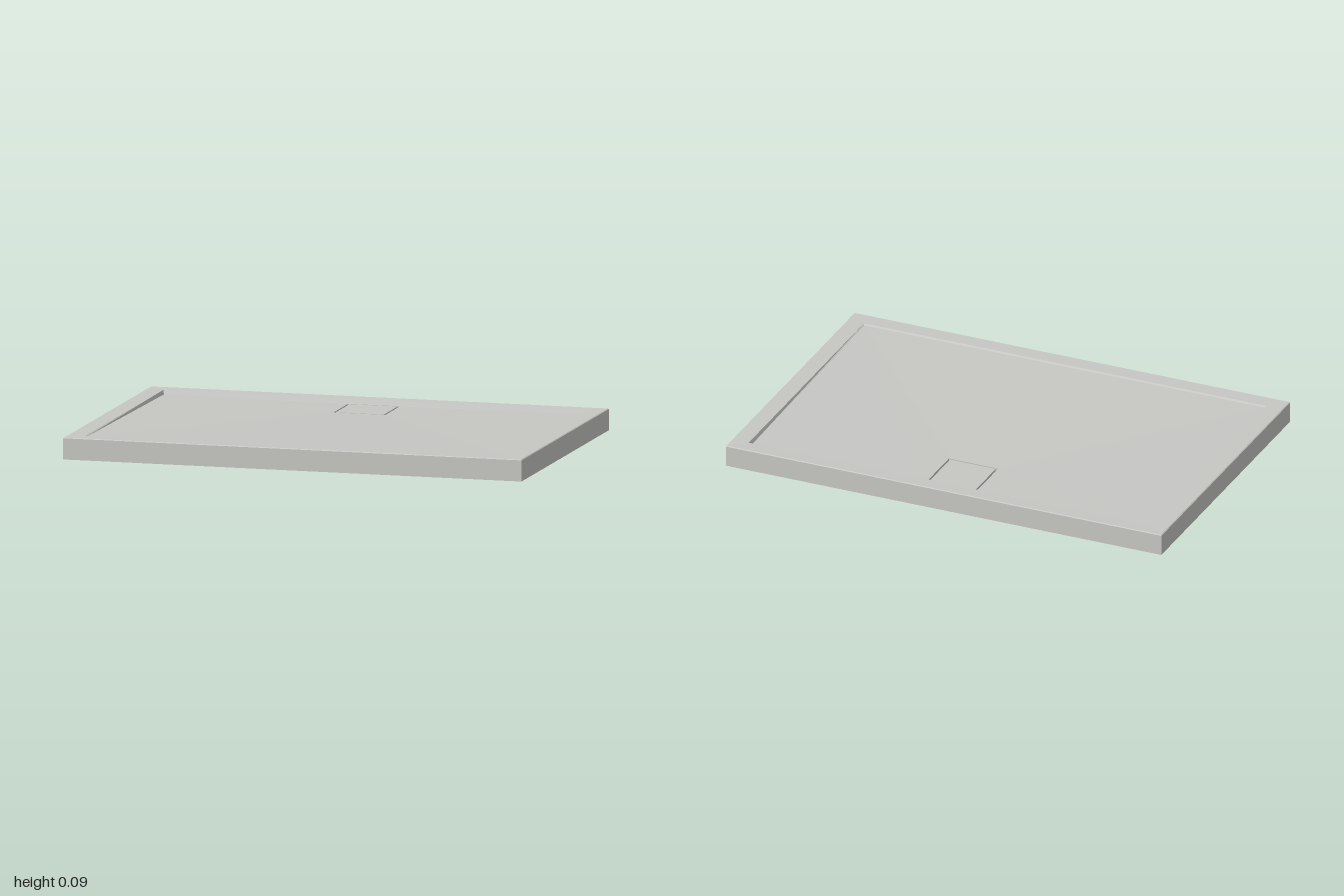
import * as THREE from 'three';

// Rectangular loop, counter-clockwise from above: half width, back z, front z, back y, front y
function loop(hx, zBack, zFront, yBack, yFront = yBack) {
  return [
    [-hx, yBack, zBack], [-hx, yFront, zFront],
    [hx, yFront, zFront], [hx, yBack, zBack],
  ];
}

// Joins successive loops with flat faces
function loft(loops) {
  const pos = [];
  for (let k = 0; k < loops.length - 1; k++) {
    const a = loops[k], b = loops[k + 1];
    for (let i = 0; i < 4; i++) {
      const j = (i + 1) % 4;
      pos.push(...a[i], ...a[j], ...b[j], ...a[i], ...b[j], ...b[i]);
    }
  }
  const geo = new THREE.BufferGeometry();
  geo.setAttribute('position', new THREE.Float32BufferAttribute(pos, 3));
  geo.computeVertexNormals();
  return geo;
}

export function createModel() {
  const group = new THREE.Group();
  const grey = new THREE.MeshStandardMaterial({ color: 0xc6c6c3, side: THREE.DoubleSide });
  grey.name = 'stone grey';

  const add = (name, geo, x = 0, y = 0, z = 0) => {
    const mesh = new THREE.Mesh(geo, grey);
    mesh.name = name;
    mesh.position.set(x, y, z);
    group.add(mesh);
    return mesh;
  };

  // Outer skirt with a slightly eased top edge
  add('skirt', loft([
    loop(1, -0.665, 0.665, 0),
    loop(1, -0.665, 0.665, 0.09),
    loop(0.996, -0.661, 0.661, 0.093),
  ]));

  // Rim, and the step down that is deepest at the back
  add('rim', loft([
    loop(0.996, -0.661, 0.661, 0.093),
    loop(0.925, -0.597, 0.592, 0.092),
    loop(0.919, -0.587, 0.582, 0.075, 0.088),
  ]));

  // Floor falling gently towards the drain
  add('floor', loft([
    loop(0.919, -0.587, 0.582, 0.075, 0.088),
    loop(0.113, -0.58, -0.355, 0.074),
  ]));

  // Drain recess under the floor
  const drainZ = -0.4675;
  add('drainRecess', loft([
    loop(0.113, -0.58, -0.355, 0.074),
    loop(0.113, -0.58, -0.355, 0.02),
  ]));

  // Recess base with the round outlet
  const base = new THREE.Shape();
  base.moveTo(-0.113, -0.1125);
  base.lineTo(0.113, -0.1125);
  base.lineTo(0.113, 0.1125);
  base.lineTo(-0.113, 0.1125);
  base.closePath();
  const outlet = new THREE.Path();
  outlet.absarc(0, 0, 0.095, 0, Math.PI * 2, true);
  base.holes.push(outlet);
  const baseGeo = new THREE.ShapeGeometry(base, 32);
  baseGeo.rotateX(-Math.PI / 2);
  add('drainBase', baseGeo, 0, 0.02, drainZ);

  // Short outlet collar
  add('outletCollar', new THREE.CylinderGeometry(0.095, 0.095, 0.016, 48, 1, true), 0, 0.012, drainZ);

  // Square cover, leaving a narrow gap all round
  add('drainCover', new THREE.BoxGeometry(0.21, 0.012, 0.209), 0, 0.068, drainZ);

  return group;
}
